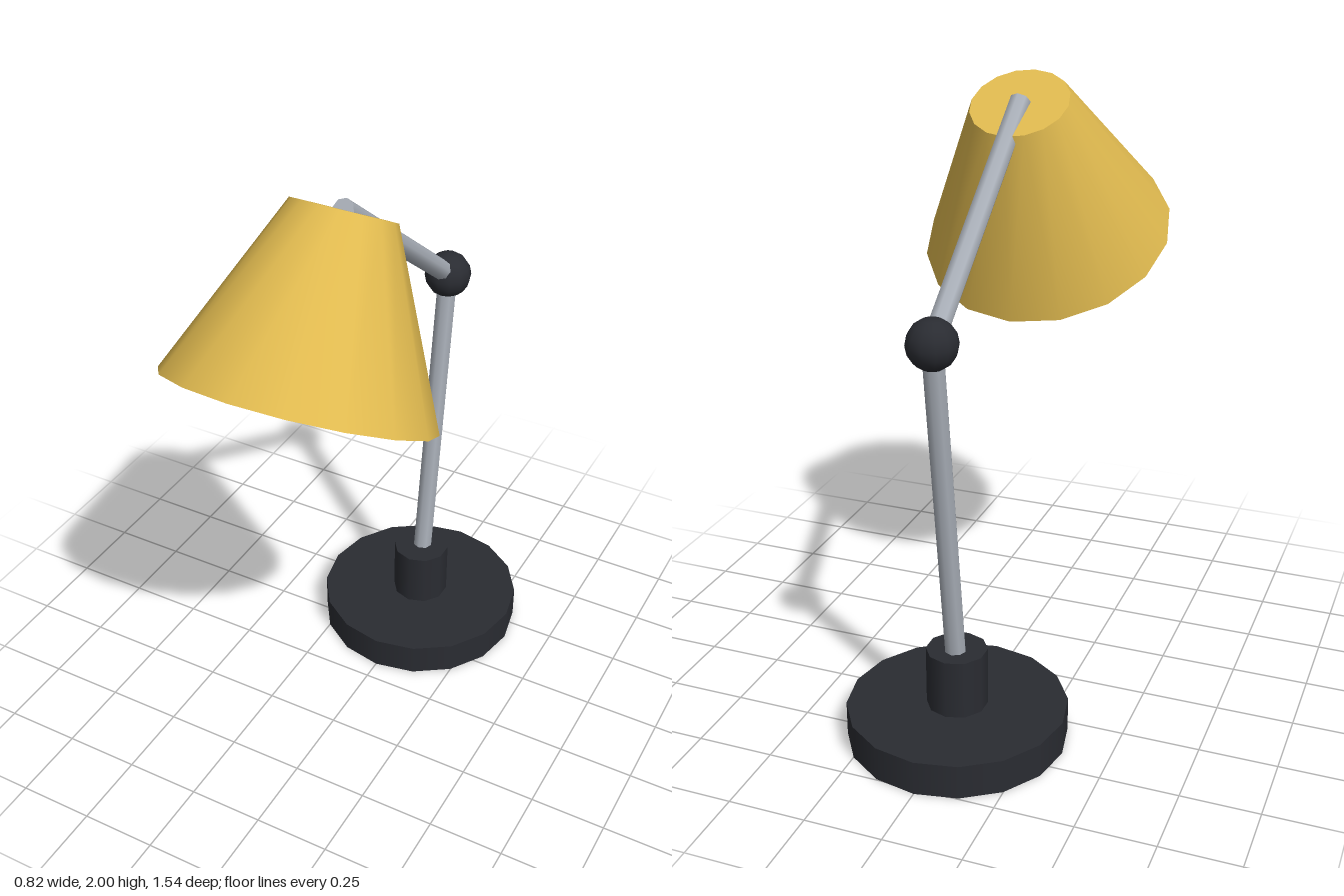
import * as THREE from 'three';

const paint = (color) => new THREE.MeshStandardMaterial({ color });

export function createModel() {
  const model = new THREE.Group();
  model.name = 'deskLamp';
  const dark = paint(0x2a2c32);
  const metal = paint(0xa9afb8);
  const yellow = paint(0xdfb94f);

  function add(name, geometry, material) {
    const mesh = new THREE.Mesh(geometry, material);
    mesh.name = name;
    model.add(mesh);
    return mesh;
  }

  // Capped cylinder or cone between two [y, z] points on the centre plane
  function rod(name, from, to, r0, r1, sides, material) {
    const dy = to[0] - from[0], dz = to[1] - from[1];
    const mesh = add(name, new THREE.CylinderGeometry(r1, r0, Math.hypot(dy, dz), sides), material);
    mesh.position.set(0, (from[0] + to[0]) / 2, (from[1] + to[1]) / 2);
    mesh.rotation.x = Math.atan2(dz, dy);
    return mesh;
  }

  const baseZ = -0.42;
  const elbow = [1.368, -0.569];
  const shadeTop = [1.918, 0.136];
  const shadeRim = [1.441, 0.411];

  // Foot and socket
  rod('base', [0, baseZ], [0.112, baseZ], 0.353, 0.353, 16, dark);
  rod('socket', [0.112, baseZ], [0.306, baseZ], 0.098, 0.098, 10, dark);

  // Two arms meeting at the ball joint
  rod('lowerArm', [0.21, -0.42], elbow, 0.034, 0.034, 8, metal);
  rod('upperArm', elbow, [1.922, 0.141], 0.034, 0.034, 8, metal);
  add('elbowJoint', new THREE.SphereGeometry(0.078, 12, 8), dark).position.set(0, ...elbow);

  // Tilted conical shade, closed at both ends
  rod('shade', shadeRim, shadeTop, 0.412, 0.158, 16, yellow);

  return model;
}
